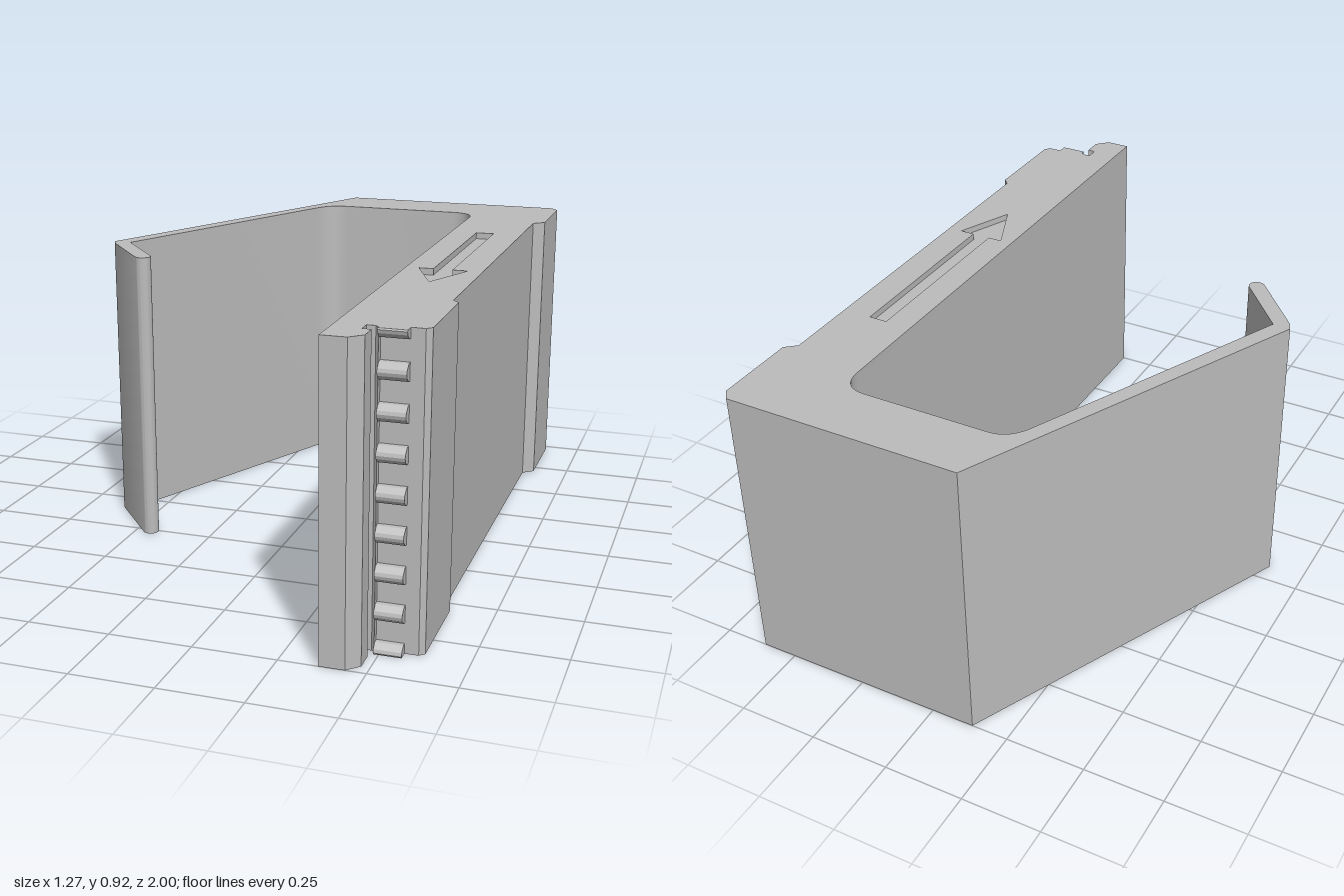
import * as THREE from 'three';
import { toCreasedNormals } from 'three/addons/utils/BufferGeometryUtils.js';

const HEIGHT = 0.915, ENGRAVE = 0.02;

// Plan outline; points are (x, z), shape space uses y = -z
function profile() {
  const s = new THREE.Shape();
  const line = pts => pts.forEach(([x, z]) => s.lineTo(x, -z));
  s.moveTo(-0.135, 1);
  // back wall and outer side of the thick arm
  line([[0.61, -1], [0.635, -0.97], [0.635, -0.71], [0.6, -0.68], [0.6, 0.53],
    [0.62, 0.55], [0.62, 0.84], [0.605, 0.855]]);
  // stepped groove and chamfered nose
  line([[0.565, 0.855], [0.485, 0.855], [0.485, 0.875], [0.475, 0.865], [0.45, 0.865],
    [0.45, 0.905], [0.475, 0.905], [0.475, 0.965], [0.44, 1], [0.365, 1], [0.365, -0.72]]);
  // filleted inside corners
  s.quadraticCurveTo(0.365, 0.805, 0.285, 0.805);
  s.lineTo(-0.11, 0.805);
  s.quadraticCurveTo(-0.174, 0.805, -0.206, 0.737);
  // thin spring arm and hooked tip
  line([[-0.58, 0.067], [-0.431, 0.242]]);
  s.absarc(-0.45, -0.258, 0.025, 0.707, -2.434, true);
  line([[-0.625, 0.09], [-0.635, 0.065]]);
  s.closePath();
  return s;
}

function slab(shape, depth) {
  const g = new THREE.ExtrudeGeometry(shape, { depth, bevelEnabled: false, curveSegments: 12 });
  g.rotateX(-Math.PI / 2);
  return toCreasedNormals(g, 0.5);
}

export function createModel() {
  const group = new THREE.Group();
  const grey = new THREE.MeshStandardMaterial({ color: 0xbcbcbc });
  grey.name = 'plain grey';
  const add = (name, geometry, y = 0) => {
    const m = new THREE.Mesh(geometry, grey);
    m.name = name;
    m.position.y = y;
    group.add(m);
    return m;
  };

  // Main clip body
  add('clipBody', slab(profile(), HEIGHT - ENGRAVE));

  // Top layer with the arrow recess cut through it
  const top = profile();
  top.holes.push(new THREE.Path([[0.45, -0.45], [0.45, 0.15], [0.405, 0.15], [0.48, 0.325],
    [0.555, 0.15], [0.508, 0.15], [0.508, -0.45]].map(([x, z]) => new THREE.Vector2(x, -z))));
  add('arrowLayer', slab(top, ENGRAVE), HEIGHT - ENGRAVE);

  // Row of ratchet teeth on the front end of the thick arm
  for (let i = 0; i < 9; i++) {
    const y0 = -0.021 + i * 0.1132;
    const pts = [[0.85, 0], [0.868, 0.002], [0.885, 0.016], [0.888, 0.026], [0.885, 0.036],
      [0.868, 0.05], [0.85, 0.052]]
      .map(([z, y]) => new THREE.Vector2(-z, Math.min(HEIGHT, Math.max(0, y0 + y))));
    const g = new THREE.ExtrudeGeometry(new THREE.Shape(pts), { depth: 0.08, bevelEnabled: false });
    g.rotateY(Math.PI / 2);
    add('ratchetTooth', g).position.x = 0.485;
  }
  return group;
}
